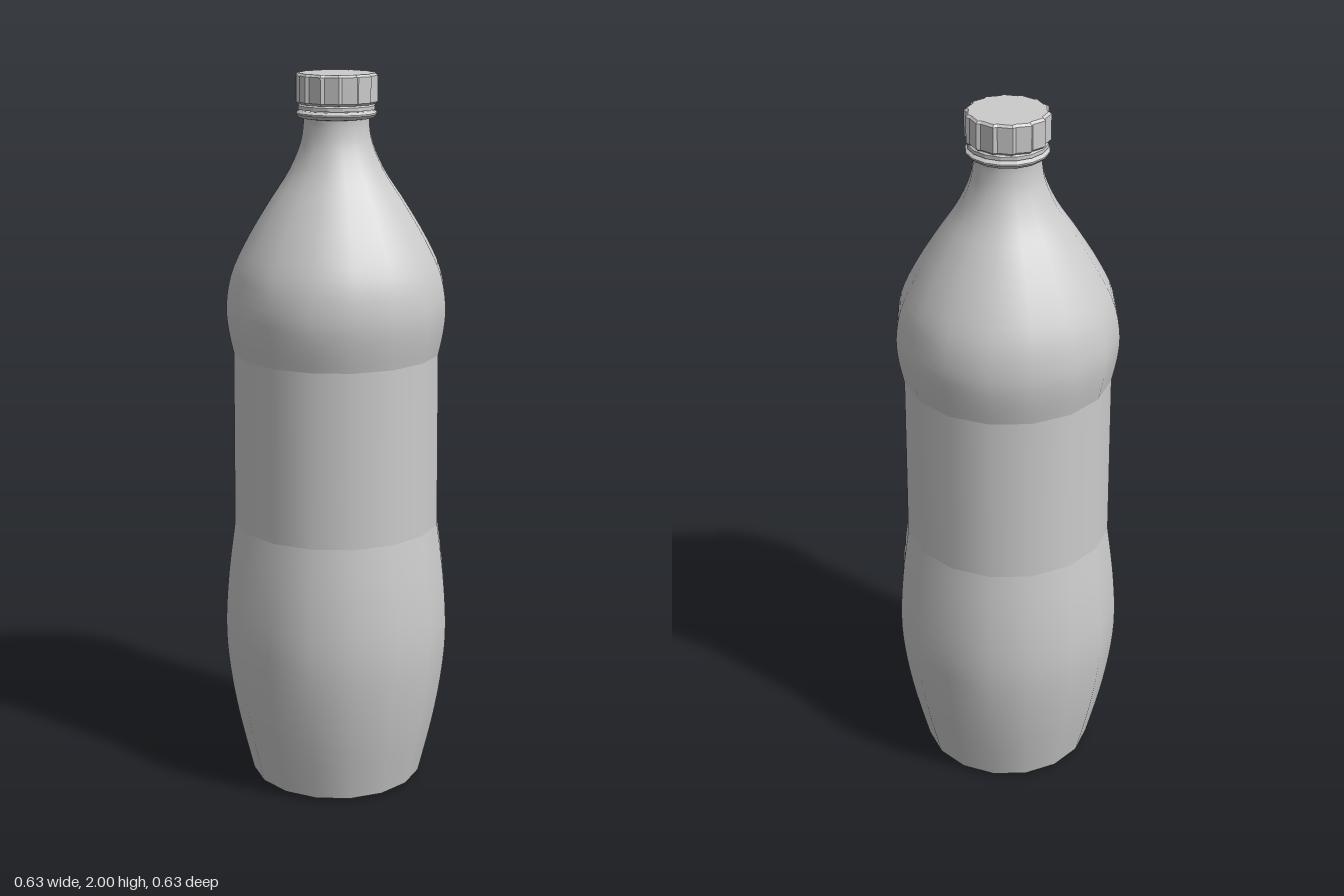
import * as THREE from 'three';

const SIDES = 16;

// Smooth curve through a few [radius, height] points
function smooth(points, steps) {
  return new THREE.SplineCurve(points.map(([r, y]) => new THREE.Vector2(r, y))).getPoints(steps);
}

// Profiles run from the bottom centre outward and upward
function turned(name, profile, flat = false) {
  const points = profile.map(p => (p.isVector2 ? p : new THREE.Vector2(...p)));
  const material = new THREE.MeshStandardMaterial({
    color: 0xcccccc, flatShading: flat, side: THREE.DoubleSide,
  });
  const mesh = new THREE.Mesh(new THREE.LatheGeometry(points, SIDES), material);
  mesh.name = name;
  return mesh;
}

// Screw cap with a toothed grip of wide facets and narrow steps
function makeCap() {
  const teeth = 14, bevel = 0.006;
  const shape = new THREE.Shape();
  for (let i = 0; i < teeth; i++) {
    [[0, 0.104], [0.16, 0.098]].forEach(([shift, r], j) => {
      const a = Math.PI / 2 + ((i + shift) / teeth) * Math.PI * 2;
      const x = r * Math.cos(a), y = r * Math.sin(a);
      if (i + j === 0) shape.moveTo(x, y);
      else shape.lineTo(x, y);
    });
  }
  shape.closePath();
  const geometry = new THREE.ExtrudeGeometry(shape, {
    depth: 0.068, bevelEnabled: true, bevelSize: bevel, bevelThickness: bevel, bevelSegments: 1,
  });
  geometry.rotateX(-Math.PI / 2);
  geometry.translate(0, 1.92 + bevel, 0);
  const cap = new THREE.Mesh(geometry, new THREE.MeshStandardMaterial({ color: 0xcccccc, flatShading: true }));
  cap.name = 'cap';
  return cap;
}

export function createModel() {
  const bottle = new THREE.Group();
  bottle.name = 'bottle';

  // Flat base with a round groove and a central foot
  bottle.add(turned('base', [
    [0, 0], [0.048, 0], [0.065, 0.035], [0.085, 0.035], [0.108, 0.01], [0.243, 0.01],
  ], true));

  // Bulging lower body
  bottle.add(turned('lowerBody', smooth([
    [0.243, 0.01], [0.283, 0.18], [0.308, 0.33], [0.317, 0.46], [0.308, 0.61], [0.288, 0.765],
  ], 16)));

  // Straight label band
  bottle.add(turned('label', [[0.288, 0.765], [0.284, 1.25]]));

  // Rounded shoulder tapering into the neck
  bottle.add(turned('shoulder', smooth([
    [0.284, 1.25], [0.298, 1.32], [0.302, 1.39], [0.286, 1.475], [0.243, 1.565],
    [0.185, 1.66], [0.132, 1.74], [0.1, 1.81], [0.09, 1.86], [0.09, 1.89],
  ], 28)));

  // Neck flange and the band below the cap
  bottle.add(turned('neckRing', [
    [0.088, 1.882], [0.1, 1.884], [0.109, 1.893], [0.109, 1.897], [0.1, 1.903], [0.09, 1.904],
  ], true));
  bottle.add(turned('capBand', [[0.088, 1.906], [0.104, 1.906], [0.104, 1.916], [0.098, 1.92]], true));

  bottle.add(makeCap());
  return bottle;
}
